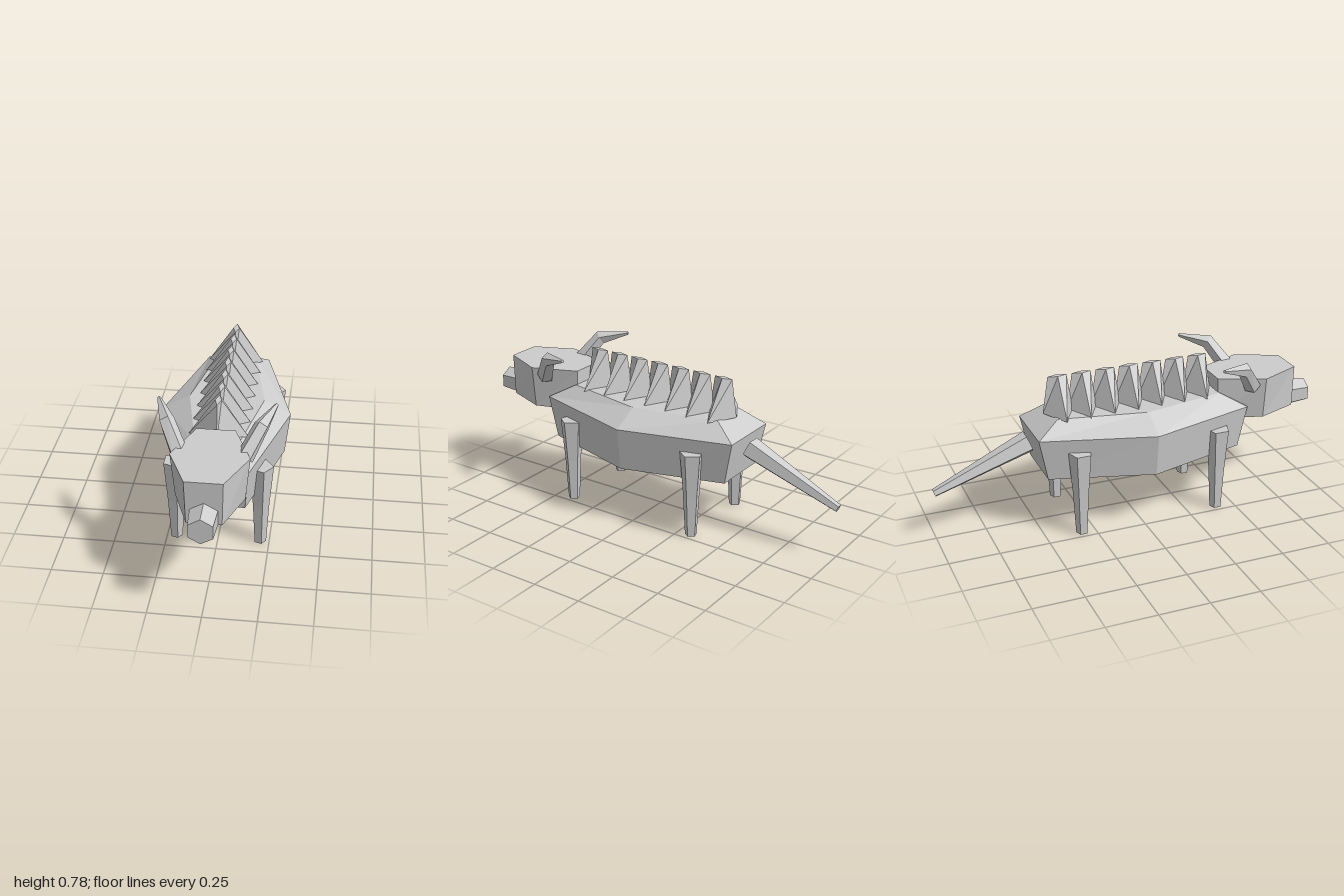
import * as THREE from 'three';

const V = (x, y, z) => new THREE.Vector3(x, y, z);
const grey = new THREE.MeshStandardMaterial({ color: 0xcccccc, flatShading: true });
grey.name = 'stone grey';

// Skin a stack of equal-sized rings and cap both ends (rings run anticlockwise about the path).
function loft(name, rings) {
  const n = rings[0].length;
  const pos = [];
  const tri = (...pts) => pts.forEach((p) => pos.push(p.x, p.y, p.z));
  for (let r = 0; r < rings.length - 1; r++) {
    for (let i = 0; i < n; i++) {
      const j = (i + 1) % n;
      const a = rings[r][i], b = rings[r][j], c = rings[r + 1][j], d = rings[r + 1][i];
      tri(a, b, c);
      tri(a, c, d);
    }
  }
  const first = rings[0], last = rings[rings.length - 1];
  for (let i = 1; i < n - 1; i++) {
    tri(first[0], first[i + 1], first[i]);
    tri(last[0], last[i], last[i + 1]);
  }
  const geo = new THREE.BufferGeometry();
  geo.setAttribute('position', new THREE.Float32BufferAttribute(pos, 3));
  geo.computeVertexNormals();
  const mesh = new THREE.Mesh(geo, grey);
  mesh.name = name;
  return mesh;
}

// Tapered polygonal tube through points; the first corner of each ring points toward ref.
function limb(name, points, radii, sides, ref) {
  const rings = points.map((p, k) => {
    const before = points[Math.max(k - 1, 0)];
    const after = points[Math.min(k + 1, points.length - 1)];
    const t = after.clone().sub(before).normalize();
    const u = ref.clone().addScaledVector(t, -ref.dot(t)).normalize();
    const s = t.clone().cross(u);
    return Array.from({ length: sides }, (_, i) => {
      const a = (i / sides) * Math.PI * 2;
      return p.clone()
        .addScaledVector(u, Math.cos(a) * radii[k])
        .addScaledVector(s, Math.sin(a) * radii[k]);
    });
  });
  return loft(name, rings);
}

// Flat hexagon, widest at zMid, for the body and head.
const hexagon = (y, wFront, wMid, wBack, zFront, zMid, zBack) => [
  V(wFront, y, zFront), V(wMid, y, zMid), V(wBack, y, zBack),
  V(-wBack, y, zBack), V(-wMid, y, zMid), V(-wFront, y, zFront),
];

const diamond = (y, z, hx, hz) => [V(0, y, z + hz), V(hx, y, z), V(0, y, z - hz), V(-hx, y, z)];

export function createModel() {
  const model = new THREE.Group();
  model.name = 'hornedBeast';

  model.add(loft('body', [
    hexagon(0.29, 0.145, 0.29, 0.145, 0.55, 0.04, -0.465),
    hexagon(0.505, 0.16, 0.315, 0.16, 0.59, 0.04, -0.51),
    hexagon(0.578, 0.1, 0.185, 0.1, 0.46, 0.04, -0.395),
  ]));

  model.add(loft('head', [
    hexagon(0.435, 0.08, 0.16, 0.085, 0.89, 0.68, 0.46),
    hexagon(0.65, 0.086, 0.18, 0.09, 0.89, 0.68, 0.455),
  ]));

  model.add(limb('snout', [V(0, 0.473, 0.675), V(0, 0.473, 1)], [0.087, 0.064], 6, V(0, 1, 0)));

  model.add(limb('tail', [V(0, 0.437, -0.515), V(0, 0.249, -0.994)], [0.057, 0.021], 5, V(0, -1, 0)));

  // Row of wedge plates along the spine
  const spines = new THREE.Group();
  spines.name = 'backSpines';
  for (let i = 0; i < 7; i++) {
    const z = 0.375 - i * 0.1225;
    spines.add(loft('spine', [diamond(0.573, z, 0.14, 0.077), diamond(0.76, z, 0.015, 0.048)]));
  }
  model.add(spines);

  for (const side of [1, -1]) {
    const label = side > 0 ? 'left' : 'right';
    // Horns sweep out, up and back
    model.add(limb(label + 'Horn',
      [V(side * 0.147, 0.61, 0.618), V(side * 0.215, 0.733, 0.535), V(side * 0.271, 0.767, 0.398)],
      [0.043, 0.037, 0.009], 5, V(0, 1, 0)));
    // Five-sided legs
    for (const [end, z] of [['Front', 0.407], ['Back', -0.318]]) {
      const x = side * 0.205;
      model.add(limb(label + end + 'Leg',
        [V(x, 0, z), V(x, 0.22, z), V(x, 0.435, z)], [0.03, 0.042, 0.06], 5, V(1, 0, 0)));
    }
  }
  return model;
}
